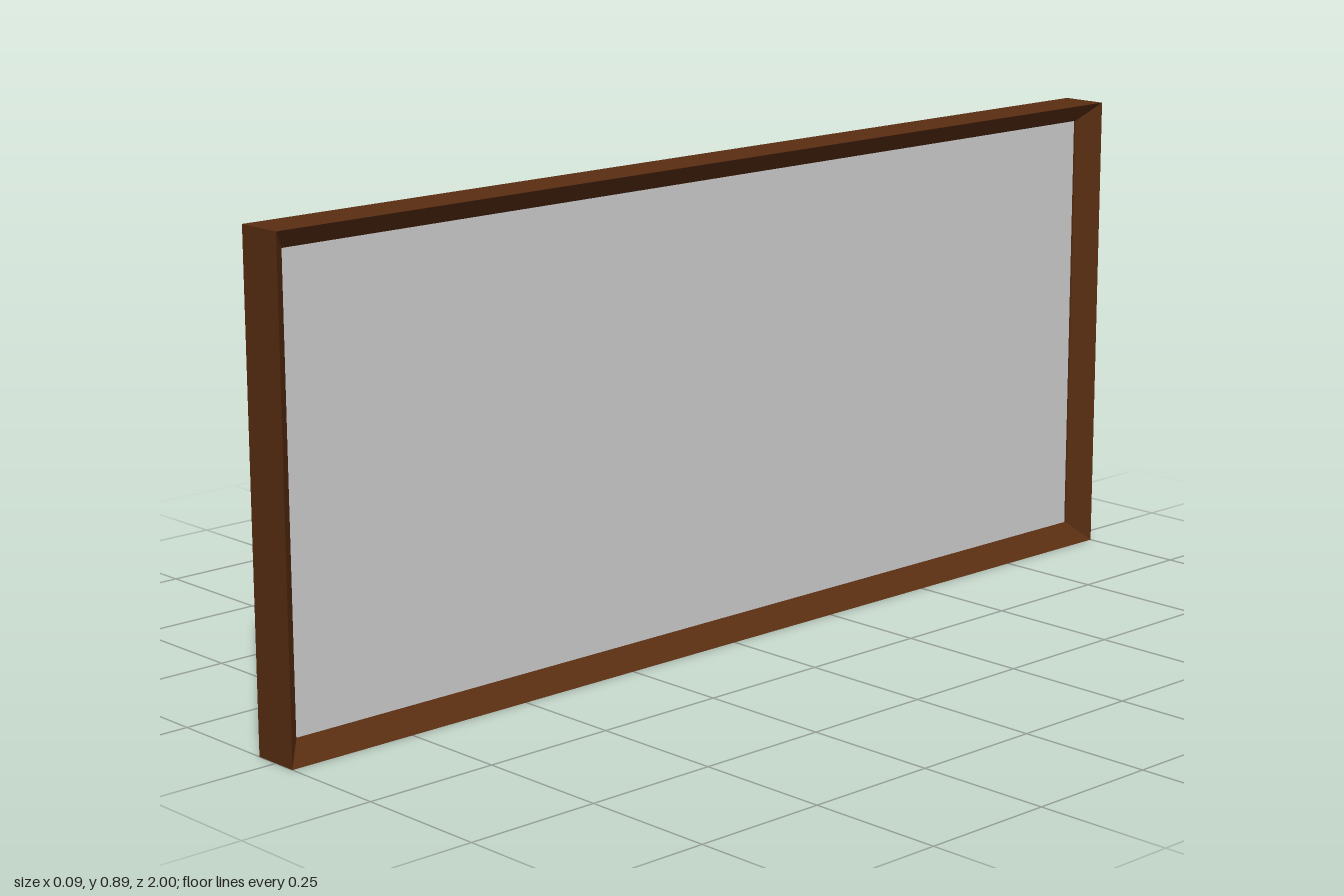
import * as THREE from 'three';

const HALF_X = 0.045, HALF_Y = 0.445, HALF_Z = 1;
const BEVEL = 0.036; // width and depth of the mitred slope

// Rectangular loop in the plane at x, inset from the outer edge
function loop(x, inset) {
  const y = HALF_Y - inset, z = HALF_Z - inset;
  return [[x, -y, z], [x, -y, -z], [x, y, -z], [x, y, z]];
}

// Skin a series of rectangular loops with flat quads, capping the first loop
function skinLoops(loops) {
  const pos = [];
  const quad = (a, b, c, d) => pos.push(...a, ...b, ...c, ...a, ...c, ...d);
  const [a, b, c, d] = loops[0];
  quad(d, c, b, a);
  for (let k = 0; k + 1 < loops.length; k++) {
    for (let i = 0; i < 4; i++) {
      const j = (i + 1) % 4;
      quad(loops[k][i], loops[k][j], loops[k + 1][j], loops[k + 1][i]);
    }
  }
  const geometry = new THREE.BufferGeometry();
  geometry.setAttribute('position', new THREE.Float32BufferAttribute(pos, 3));
  geometry.computeVertexNormals();
  return geometry;
}

export function createModel() {
  const group = new THREE.Group();
  group.name = 'framedPanel';

  // Frame: closed back, straight sides, bevelled opening, short inner lip
  const lipX = HALF_X - BEVEL;
  const frame = new THREE.Mesh(
    skinLoops([loop(-HALF_X, 0), loop(HALF_X, 0), loop(lipX, BEVEL), loop(lipX - 0.01, BEVEL)]),
    new THREE.MeshStandardMaterial({ color: 0x5a2e12, flatShading: true, side: THREE.DoubleSide })
  );
  frame.name = 'frame';
  frame.position.y = HALF_Y;
  group.add(frame);

  // Grey panel set just behind the lip
  const thickness = 0.01;
  const panel = new THREE.Mesh(
    new THREE.BoxGeometry(thickness, 2 * (HALF_Y - BEVEL), 2 * (HALF_Z - BEVEL)),
    new THREE.MeshStandardMaterial({ color: 0xcccccc })
  );
  panel.name = 'panel';
  panel.position.set(lipX - 0.004 - thickness / 2, HALF_Y, 0);
  group.add(panel);

  return group;
}
